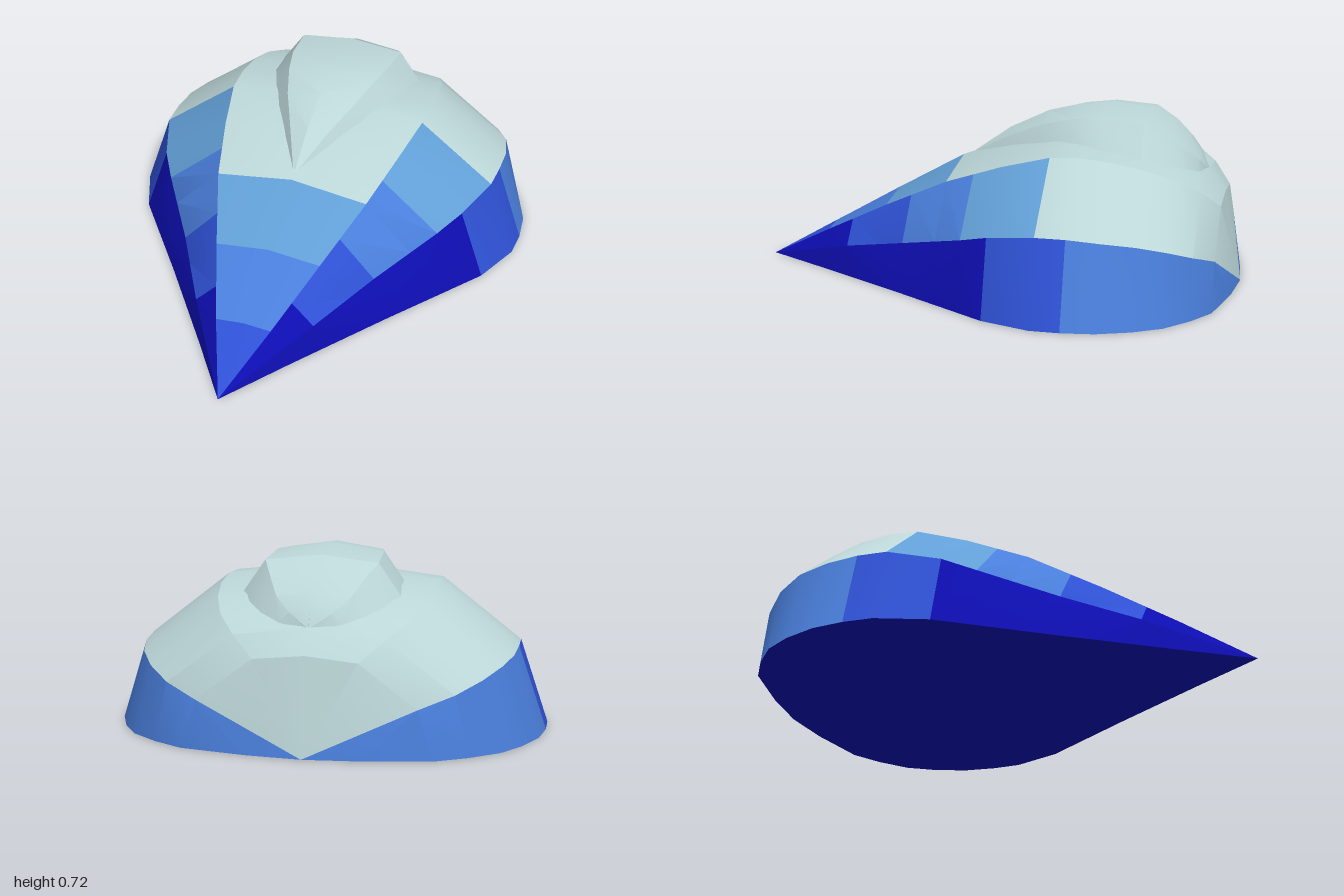
import * as THREE from 'three';
import { toCreasedNormals } from 'three/addons/utils/BufferGeometryUtils.js';

const mat = (name, color) => {
  const m = new THREE.MeshStandardMaterial({ color });
  m.name = name;
  return m;
};

// Point on a rail of [z, x, y] keys, z running from front to back
function sample(rail, z) {
  let k = 1;
  while (k < rail.length - 1 && rail[k][0] > z) k++;
  const [a, b] = [rail[k - 1], rail[k]];
  const t = (z - a[0]) / (b[0] - a[0]);
  return new THREE.Vector3(a[1] + (b[1] - a[1]) * t, a[2] + (b[2] - a[2]) * t, z);
}

// Shell through rails (outermost first, last on the centre line), mirrored in x
// and closed below; pick(band, z) gives the material index of each cell.
function railShell(rails, stations, materialCount, pick) {
  const n = rails.length;
  const rings = stations.map((z) => {
    const half = rails.map((r) => sample(r, z));
    const mirrored = half.slice(0, -1).reverse().map((p) => new THREE.Vector3(-p.x, p.y, p.z));
    return [...half, ...mirrored];
  });
  const count = 2 * n - 1;
  const buckets = Array.from({ length: materialCount }, () => []);
  const tri = new THREE.Triangle();
  for (let i = 0; i < rings.length - 1; i++) {
    for (let j = 0; j < count; j++) {
      const k = (j + 1) % count;
      const band = j === count - 1 ? -1 : Math.min(j, count - 2 - j);
      const bucket = buckets[pick(band, (stations[i] + stations[i + 1]) / 2)];
      const [a, b, c, d] = [rings[i][j], rings[i + 1][j], rings[i + 1][k], rings[i][k]];
      // diagonals mirror each other left to right
      const cells = j < n - 1 ? [[a, b, d], [b, c, d]] : [[a, b, c], [a, c, d]];
      for (const t of cells) {
        if (tri.set(...t).getArea() > 1e-7) t.forEach((p) => bucket.push(p.x, p.y, p.z));
      }
    }
  }
  const geo = new THREE.BufferGeometry();
  geo.setAttribute('position', new THREE.Float32BufferAttribute(buckets.flat(), 3));
  let start = 0;
  buckets.forEach((b, m) => {
    geo.addGroup(start, b.length / 3, m);
    start += b.length / 3;
  });
  return toCreasedNormals(geo, 0.4);
}

export function createModel() {
  const group = new THREE.Group();
  const grey = mat('pale grey', 0xbcd6d8);
  const materials = [
    mat('deep blue', 0x0e0eb4), mat('royal blue', 0x2f52d6),
    mat('mid blue', 0x4a7fdc), mat('sky blue', 0x629fd6), grey,
  ];

  // Main body: ground outline, shoulder, upper edge and crown
  const base = [[1, 0, 0], [0.72, 0.19, 0], [0.32, 0.47, 0], [-0.08, 0.76, 0], [-0.28, 0.84, 0],
    [-0.4, 0.845, 0], [-0.53, 0.83, 0], [-0.66, 0.78, 0], [-0.77, 0.71, 0], [-0.86, 0.6, 0],
    [-0.93, 0.48, 0], [-0.98, 0.22, 0], [-1, 0, 0]];
  const shoulder = [[1, 0, 0], [0.6, 0.25, 0.12], [0.32, 0.41, 0.19], [0.04, 0.59, 0.265],
    [-0.08, 0.66, 0.3], [-0.28, 0.73, 0.33], [-0.4, 0.735, 0.33], [-0.53, 0.73, 0.32],
    [-0.66, 0.7, 0.305], [-0.77, 0.64, 0.275], [-0.86, 0.55, 0.235], [-0.93, 0.42, 0.19], [-1, 0, 0]];
  const upper = [[1, 0, 0], [0.72, 0.115, 0.15], [0.44, 0.22, 0.295], [0.16, 0.32, 0.43],
    [-0.08, 0.38, 0.515], [-0.28, 0.42, 0.57], [-0.4, 0.425, 0.575], [-0.53, 0.42, 0.56],
    [-0.66, 0.4, 0.53], [-0.77, 0.36, 0.485], [-0.86, 0.29, 0.43], [-0.93, 0.2, 0.355], [-1, 0, 0]];
  const crown = [[1, 0, 0], [0.72, 0, 0.16], [0.44, 0, 0.32], [0.16, 0, 0.475], [-0.08, 0, 0.565],
    [-0.28, 0, 0.62], [-0.53, 0, 0.605], [-0.66, 0, 0.575], [-0.77, 0, 0.53], [-0.86, 0, 0.465],
    [-0.93, 0, 0.375], [-1, 0, 0]];
  const stations = [1, 0.72, 0.6, 0.44, 0.32, 0.16, 0.04, -0.08, -0.28, -0.4, -0.53, -0.66,
    -0.77, -0.86, -0.93, -0.98, -1];

  // Each band steps to the next lighter colour at these z positions
  const steps = [[-0.08, -0.4], [0.6, 0.32, 0.04, -0.28], [0.72, 0.44, 0.16]];
  const first = [0, 0, 1];
  const pick = (band, z) => (band < 0 ? 0 : first[band] + steps[band].filter((s) => z < s).length);
  const body = new THREE.Mesh(
    railShell([base, shoulder, upper, crown], stations, materials.length, pick), materials);
  body.name = 'body';
  group.add(body);

  // Teardrop hump on the crown
  const foot = [[0.11, 0.015, 0.48], [-0.04, 0.1, 0.53], [-0.2, 0.19, 0.565], [-0.33, 0.25, 0.585],
    [-0.45, 0.29, 0.58], [-0.62, 0.31, 0.545], [-0.71, 0.26, 0.525], [-0.78, 0.2, 0.5],
    [-0.83, 0.12, 0.475], [-0.86, 0, 0.45]];
  const brow = [[0.11, 0.01, 0.492], [-0.04, 0.075, 0.575], [-0.2, 0.145, 0.645], [-0.33, 0.185, 0.68],
    [-0.45, 0.21, 0.69], [-0.62, 0.22, 0.675], [-0.71, 0.18, 0.625], [-0.78, 0.14, 0.565],
    [-0.83, 0.08, 0.515], [-0.86, 0, 0.46]];
  const ridge = [[0.11, 0, 0.495], [-0.04, 0, 0.6], [-0.25, 0, 0.7], [-0.45, 0, 0.72],
    [-0.62, 0, 0.7], [-0.74, 0, 0.63], [-0.82, 0, 0.545], [-0.86, 0, 0.47]];
  const hump = new THREE.Mesh(
    railShell([foot, brow, ridge], foot.map((p) => p[0]), 1, () => 0), grey);
  hump.name = 'hump';
  group.add(hump);

  return group;
}
